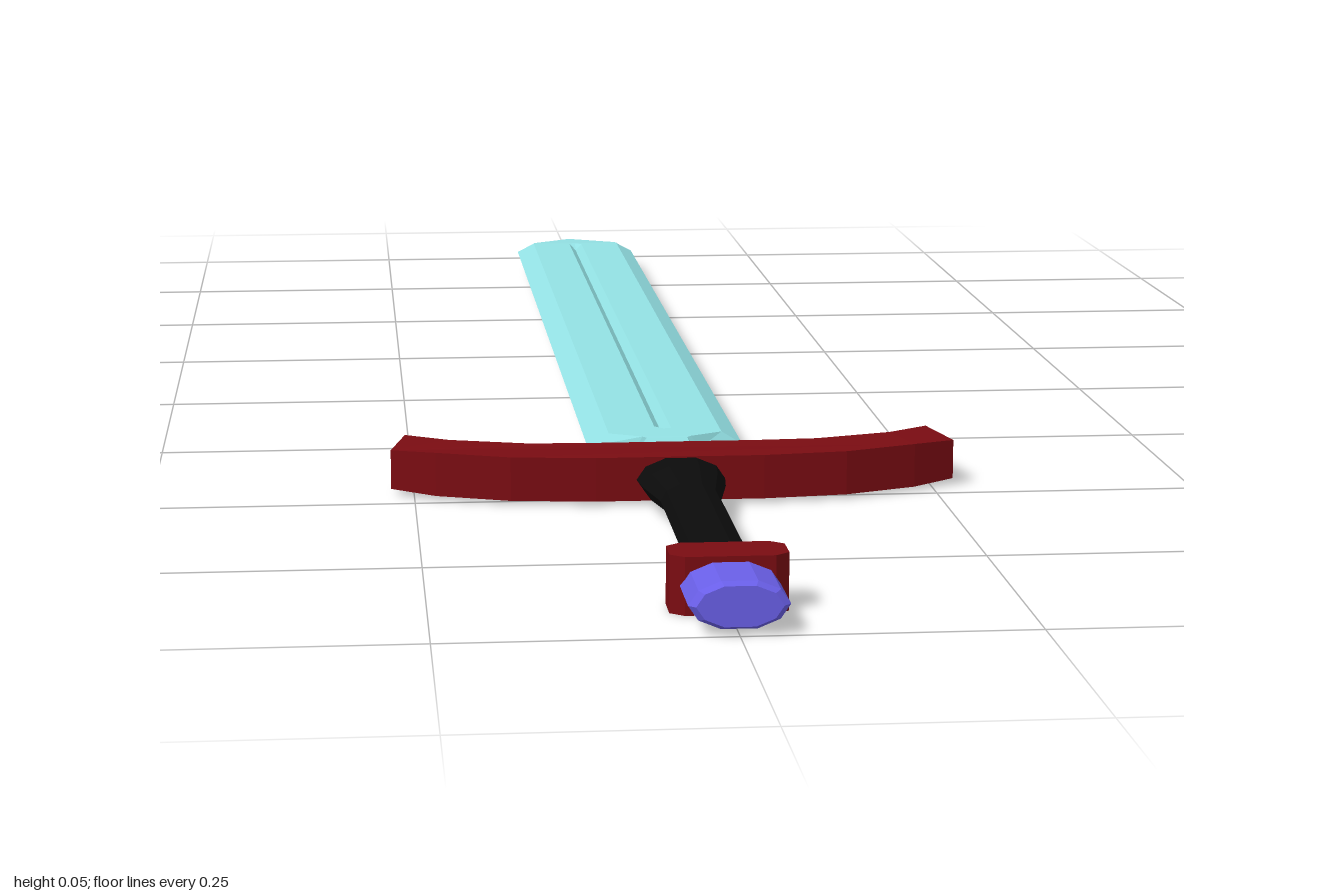
import * as THREE from 'three';

const MID = 0.025; // height of the sword's middle plane

const material = (color) => new THREE.MeshStandardMaterial({ color, flatShading: true });

// Skin closed rings of points, each anticlockwise seen from +z, ordered from +z to -z.
function loft(rings) {
  const n = rings[0].length;
  const pos = rings.flat(2);
  const index = [];
  for (let i = 0; i < rings.length - 1; i++) {
    for (let j = 0; j < n; j++) {
      const k = (j + 1) % n;
      const a = i * n + j, b = i * n + k, c = b + n, d = a + n;
      index.push(a, d, c, a, c, b);
    }
  }
  // End caps as fans around a centre point
  [0, rings.length - 1].forEach((r, end) => {
    const centre = pos.length / 3;
    pos.push(0, MID, rings[r][0][2]);
    for (let j = 0; j < n; j++) {
      const a = r * n + j, b = r * n + (j + 1) % n;
      index.push(centre, ...(end ? [b, a] : [a, b]));
    }
  });
  const geo = new THREE.BufferGeometry();
  geo.setAttribute('position', new THREE.Float32BufferAttribute(pos, 3));
  geo.setIndex(index);
  geo.computeVertexNormals();
  return geo;
}

// Flattened bevelled section with a narrow groove on both faces
function bladeRing([z, w, f, h, groove]) {
  const r = Math.min(0.008, f * 0.5);
  const upper = [[w, 0], [f, h], [r, h], [0, h - groove], [-r, h], [-f, h]];
  const lower = upper.map(([x, y]) => [-x, -y]);
  return [...upper, ...lower].map(([x, y]) => [x, MID + y, z]);
}

// Flattened octagon section
function octagonRing([z, w, h]) {
  const unit = [[1, 0], [0.8, 0.62], [0.36, 1], [-0.36, 1], [-0.8, 0.62]];
  const pts = [...unit, ...unit.map(([x, y]) => [-x, -y])];
  return pts.map(([x, y]) => [x * w, MID + y * h, z]);
}

// Extrude an outline of (x, z) points to a slab centred on the middle plane
function slab(points, height) {
  const shape = new THREE.Shape(points.map(([x, z]) => new THREE.Vector2(x, -z)));
  const geo = new THREE.ExtrudeGeometry(shape, { depth: height, bevelEnabled: false });
  geo.rotateX(-Math.PI / 2);
  geo.translate(0, MID - height / 2, 0);
  return geo;
}

export function createModel() {
  const sword = new THREE.Group();
  sword.name = 'sword';
  const red = material(0x7a0c12);
  const add = (name, geo, mat) => {
    const mesh = new THREE.Mesh(geo, mat);
    mesh.name = name;
    sword.add(mesh);
    return mesh;
  };

  // Blade with tang: z, half width, flat half width, half thickness, groove depth
  add('blade', loft([
    [0.47, 0.028, 0.02, 0.012, 0],
    [0.394, 0.028, 0.02, 0.012, 0],
    [0.393, 0.032, 0.024, 0.013, 0],
    [0.375, 0.077, 0.056, 0.013, 0],
    [0.355, 0.077, 0.056, 0.013, 0],
    [0.345, 0.077, 0.056, 0.013, 0.008],
    [-0.87, 0.077, 0.056, 0.013, 0.008],
    [-0.88, 0.077, 0.056, 0.013, 0],
    [-0.893, 0.077, 0.054, 0.012, 0],
    [-1, 0.001, 0.0005, 0.001, 0],
  ].map(bladeRing)), material(0x93e1e4));

  // Curved crossguard, tips swept towards the blade and slightly thinner
  const half = [[0.08, 0.525], [0.16, 0.515], [0.23, 0.488], [0.272, 0.463],
    [0.257, 0.393], [0.215, 0.43], [0.14, 0.453], [0.08, 0.456]];
  const outline = [...half, ...half.map(([x, z]) => [-x, z]).reverse()];
  const guard = slab(outline, 0.042);
  const p = guard.attributes.position;
  for (let i = 0; i < p.count; i++) {
    if (Math.abs(p.getX(i)) > 0.25) p.setY(i, MID + (p.getY(i) - MID) * 0.9);
  }
  guard.computeVertexNormals();
  add('crossguard', guard, red);

  // Grip, swelling next to the guard
  add('grip', loft([
    [0.9, 0.028, 0.016],
    [0.62, 0.028, 0.016],
    [0.56, 0.039, 0.02],
    [0.528, 0.042, 0.02],
    [0.505, 0.03, 0.018],
  ].map(octagonRing)), material(0x0b0b0b));

  // Collar with clipped corners
  add('collar', slab([[0.038, 0.932], [0.05, 0.922], [0.05, 0.892], [0.038, 0.882],
    [-0.038, 0.882], [-0.05, 0.892], [-0.05, 0.922], [-0.038, 0.932]], 0.05), red);

  // Pommel gem
  add('pommelGem', loft([
    [1, 0.036, 0.017],
    [0.994, 0.042, 0.02],
    [0.925, 0.042, 0.02],
  ].map(octagonRing)), material(0x6a5fe8));

  return sword;
}
